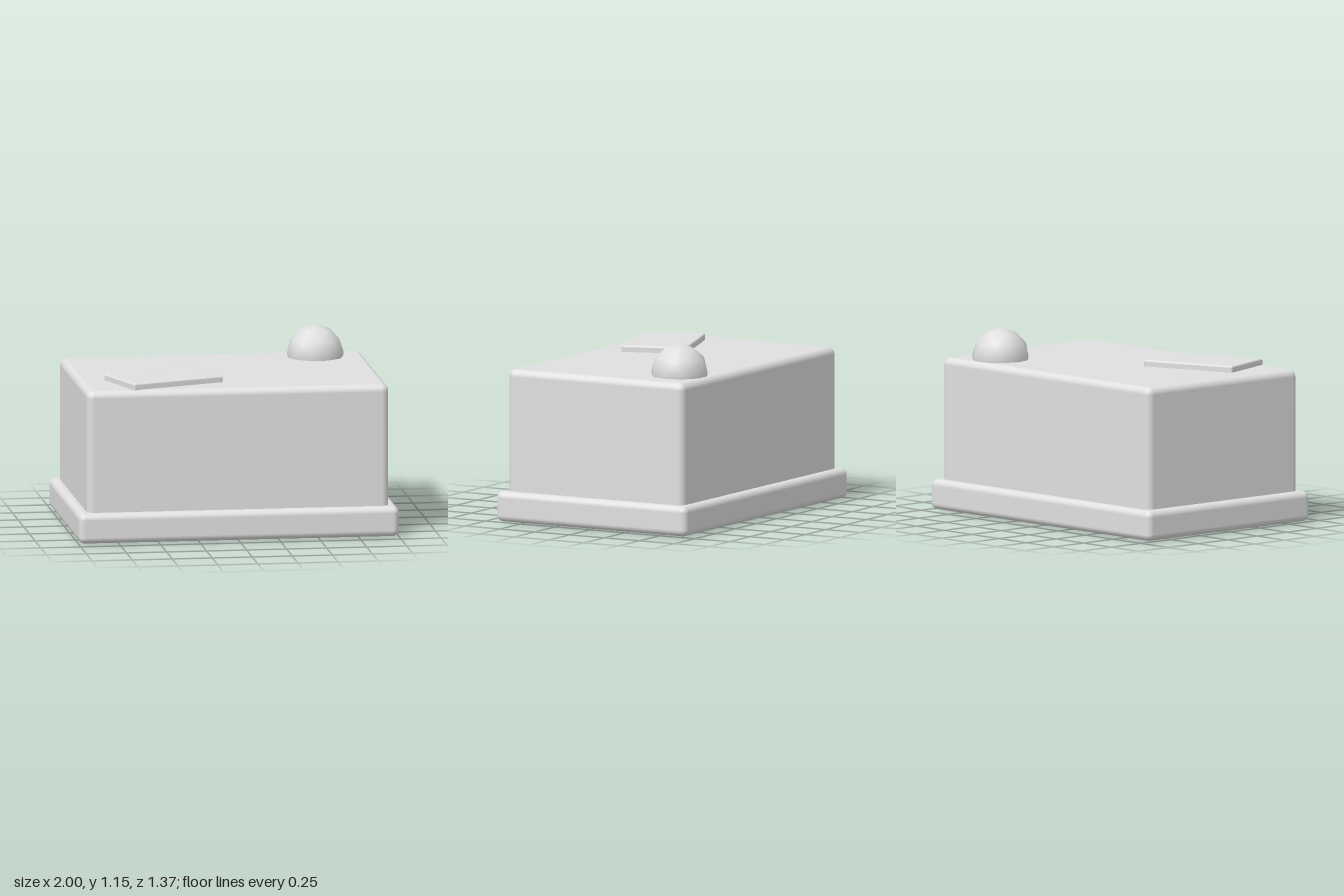
import * as THREE from 'three';
import { RoundedBoxGeometry } from 'three/addons/geometries/RoundedBoxGeometry.js';

export function createModel() {
  const group = new THREE.Group();
  const shell = new THREE.MeshStandardMaterial({ color: 0xe0e0e0 });
  shell.name = 'light grey shell';
  const underside = new THREE.MeshStandardMaterial({ color: 0x808080 });
  underside.name = 'dark grey underside';

  const add = (name, geometry, material, x, y, z) => {
    const mesh = new THREE.Mesh(geometry, material);
    mesh.name = name;
    mesh.position.set(x, y, z);
    group.add(mesh);
    return mesh;
  };

  // A rounded box given by its bottom and top heights
  const roundedBox = (name, w, d, bottom, top, radius, x = 0, z = 0) =>
    add(name, new RoundedBoxGeometry(w, top - bottom, d, 4, radius), shell, x, (bottom + top) / 2, z);

  // Wide plinth and the taller body standing in it
  roundedBox('base', 2, 1.365, 0.002, 0.19, 0.04);
  roundedBox('body', 1.885, 1.26, 0.05, 0.95, 0.045);

  // Tilted tablet lying on the top near the front right corner
  const tablet = roundedBox('tablet', 0.62, 0.41, 0.935, 0.99, 0.012, -0.422, 0.31);
  tablet.rotation.y = 0.34;

  // Coarse round knob, half sunk into the top, with one vertex pointing up
  const ball = new THREE.IcosahedronGeometry(0.178, 1);
  ball.rotateZ(-Math.atan(2 / (1 + Math.sqrt(5))));
  ball.rotateY(Math.PI / 2);
  add('knob', ball, shell, 0.63, 0.972, -0.425);

  // Thin panel under the base
  add('undersidePanel', new THREE.BoxGeometry(1.8, 0.004, 1.17), underside, 0, 0.002, 0);

  return group;
}
